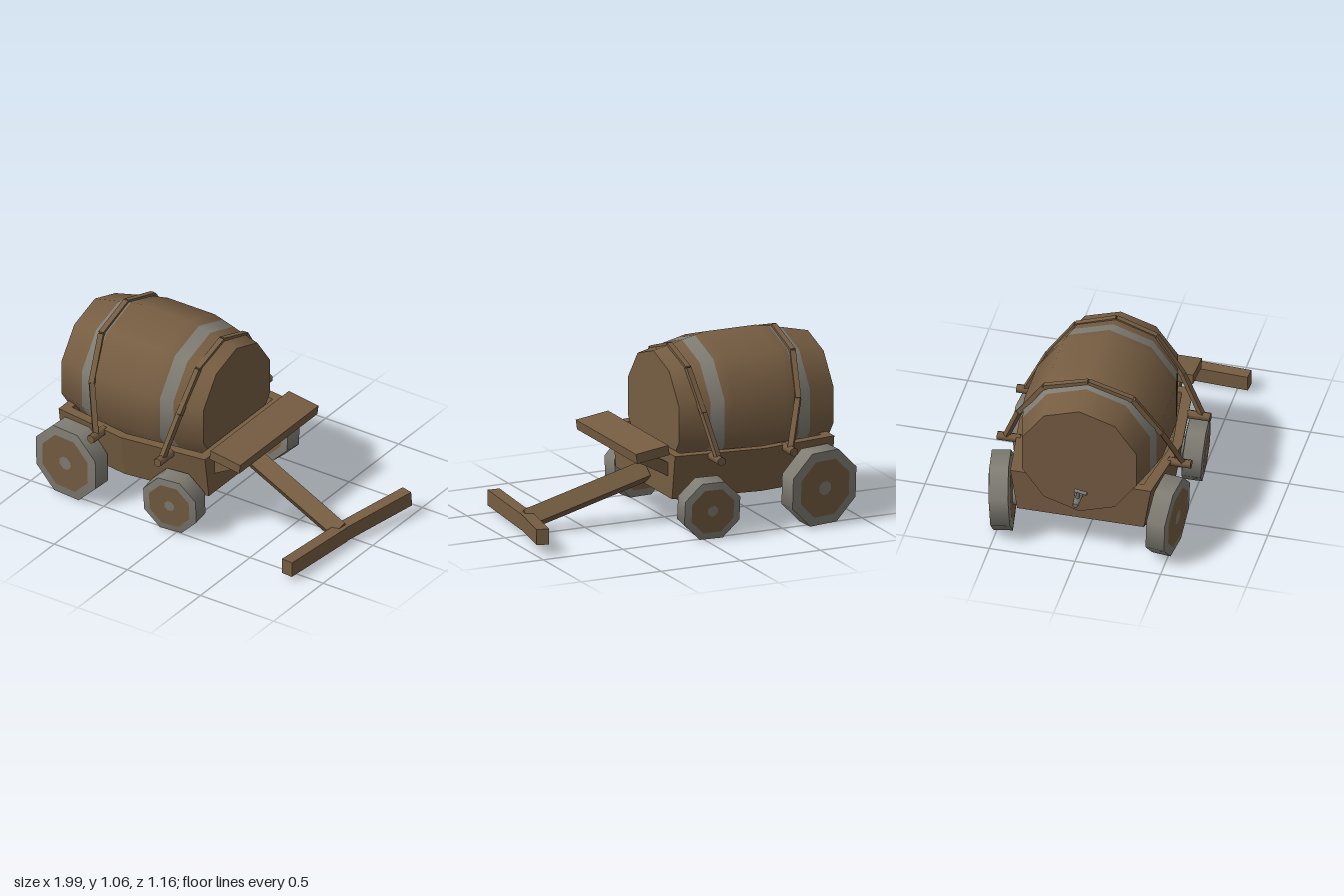
import * as THREE from 'three';

export function createModel() {
  const group = new THREE.Group();
  const wood = new THREE.MeshStandardMaterial({ color: 0x765d42 });
  const metal = new THREE.MeshStandardMaterial({ color: 0x807d74 });
  wood.name = 'wood';
  metal.name = 'metal';
  const V = (x, y, z) => new THREE.Vector3(x, y, z);

  const add = (name, geo, mat, parent = group) => {
    const m = new THREE.Mesh(geo, mat);
    m.name = name;
    parent.add(m);
    return m;
  };

  // Square bar between two points, rolled about its own length
  const beam = (name, a, b, w, h, mat = wood, roll = 0) => {
    const m = add(name, new THREE.BoxGeometry(w, h, a.distanceTo(b)), mat);
    m.position.copy(a).add(b).multiplyScalar(0.5);
    m.lookAt(b);
    m.rotateZ(roll);
    return m;
  };

  // Round rod between two points
  const rod = (name, a, b, r, mat = wood, sides = 8, r2 = r) => {
    const m = add(name, new THREE.CylinderGeometry(r2, r, a.distanceTo(b), sides), mat);
    m.position.copy(a).add(b).multiplyScalar(0.5);
    m.quaternion.setFromUnitVectors(V(0, 1, 0), b.clone().sub(a).normalize());
    return m;
  };

  // Surface of revolution from [radius, height] pairs
  const lathe = (name, pts, sides, phase, mat, parent) => add(name,
    new THREE.LatheGeometry(pts.map(p => new THREE.Vector2(...p)), sides, phase), mat, parent);

  // Barrel lying along x, split where the hoops lie
  const barrel = new THREE.Group();
  barrel.name = 'barrel';
  barrel.rotation.z = -Math.PI / 2;
  barrel.position.y = 0.65;
  group.add(barrel);
  const part = (name, pts, mat) => lathe(name, pts, 10, Math.PI / 10, mat, barrel);
  part('barrelBack', [[0, -0.9], [0.352, -0.9]], wood);
  part('stavesBack', [[0.352, -0.9], [0.391, -0.735]], wood);
  part('hoopBack', [[0.391, -0.735], [0.409, -0.655]], metal);
  part('stavesMiddle', [[0.409, -0.655], [0.425, -0.57], [0.425, -0.25], [0.412, -0.19]], wood);
  part('hoopFront', [[0.412, -0.19], [0.394, -0.11]], metal);
  part('stavesFront', [[0.394, -0.11], [0.352, 0.07]], wood);
  part('barrelFront', [[0.352, 0.07], [0, 0.07]], wood);

  // Wagon bed: rings of a bulged, flared plan joined into an open tray
  const ring = (y, spread, inset) => [
    [-0.87, 0.41], [-0.4, 0.475], [0.13, 0.41], [0.13, -0.41], [-0.4, -0.475], [-0.87, -0.41],
  ].map(([x, z]) => [x - Math.sign(x + 0.39) * inset * (Math.abs(x + 0.4) > 0.1 ? 1 : 0),
    y, z - Math.sign(z) * (spread + inset)]);
  const rings = [ring(0.23, 0.04, 0), ring(0.49, 0, 0), ring(0.49, 0, 0.055), ring(0.27, 0.04, 0.055)];
  const tri = [];
  const quad = (a, b, c, d) => tri.push(...a, ...b, ...c, ...a, ...c, ...d);
  for (let k = 0; k < 3; k++) {
    for (let i = 0; i < 6; i++) {
      const j = (i + 1) % 6;
      quad(rings[k][i], rings[k][j], rings[k + 1][j], rings[k + 1][i]);
    }
  }
  for (let i = 1; i < 5; i++) {
    tri.push(...rings[0][0], ...rings[0][i + 1], ...rings[0][i]);
    tri.push(...rings[3][0], ...rings[3][i], ...rings[3][i + 1]);
  }
  const bedGeo = new THREE.BufferGeometry();
  bedGeo.setAttribute('position', new THREE.Float32BufferAttribute(tri, 3));
  bedGeo.computeVertexNormals();
  add('wagonBed', bedGeo, wood);

  // Wheels: eight sides, metal tyre and hub, wooden disc on both faces
  const wheel = (name, x, y, z, R, yaw, tilt) => {
    const g = new THREE.Group();
    g.name = name;
    g.position.set(x, y, z);
    g.rotation.set(tilt, yaw, 0);
    group.add(g);
    const spin = new THREE.Group();
    spin.rotation.x = Math.PI / 2;
    g.add(spin);
    const h = 0.055, c = 0.062;
    const w = (n, pts, mat) => lathe(n, pts, 8, Math.PI / 8, mat, spin);
    w('tyreTread', [[R, -h], [R, h]], metal);
    for (const s of [-1, 1]) {
      const face = (n, pts, mat) => w(n, s < 0 ? pts : pts.reverse(), mat);
      face('hubPlate', [[0, s * c], [R * 0.18, s * c]], metal);
      face('wheelDisc', [[R * 0.18, s * c], [R * 0.76, s * c]], wood);
      face('tyreSide', [[R * 0.76, s * c], [R, s * h]], metal);
    }
  };
  wheel('rearLeftWheel', -0.735, 0.237, 0.475, 0.235, -0.09, 0.03);
  wheel('rearRightWheel', -0.735, 0.237, -0.49, 0.235, 0.16, -0.06);
  wheel('frontLeftWheel', -0.04, 0.192, 0.467, 0.182, 0.1, 0.06);
  wheel('frontRightWheel', -0.04, 0.192, -0.497, 0.182, -0.06, -0.09);

  // Axles with metal sleeves
  for (const [x, y] of [[-0.735, 0.21], [-0.04, 0.195]]) {
    beam('axle', V(x, y, -0.39), V(x, y, 0.39), 0.08, 0.075);
    for (const s of [-1, 1]) rod('axleSleeve', V(x, y + 0.01, s * 0.36), V(x, y, s * 0.46), 0.055, metal);
  }

  // Straps over the barrel, tied to pegs on both sides
  const straps = [
    [[-0.685, 1.055, 0], [-0.68, 0.975, 0.26], [-0.64, 0.74, 0.415], [-0.545, 0.48, 0.515]],
    [[-0.03, 1.025, 0], [-0.035, 0.945, 0.235], [-0.055, 0.72, 0.395], [-0.09, 0.48, 0.515]],
  ];
  for (const pts of straps) {
    for (const s of [-1, 1]) {
      const p = pts.map(([x, y, z]) => V(x, y, z * s));
      for (let i = 0; i < 3; i++) beam('strap', p[i], p[i + 1], 0.032, 0.028);
      rod('strapPeg', V(p[3].x, 0.473, s * 0.43), V(p[3].x, 0.473, s * 0.565), 0.027, wood, 6);
    }
  }

  // Driver's seat and its slanted brackets
  const seat = add('seat', new THREE.BoxGeometry(0.205, 0.058, 0.79), wood);
  seat.position.set(0.26, 0.513, 0.005);
  seat.rotation.z = -0.14;
  for (const s of [-1, 1]) beam('seatBracket', V(0.08, 0.365, s * 0.29), V(0.31, 0.49, s * 0.29), 0.05, 0.07);

  // Draw pole and cross handle
  beam('drawPole', V(0.13, 0.315, -0.035), V(0.83, 0.08, 0.075), 0.1, 0.1, wood, 0.6);
  beam('handleLeft', V(0.8, 0.083, 0.57), V(0.835, 0.075, 0.06), 0.072, 0.092);
  beam('handleRight', V(0.825, 0.075, 0.1), V(0.96, 0.12, -0.41), 0.072, 0.09);

  // Tap at the back of the barrel
  rod('tapSpout', V(-0.89, 0.425, 0), V(-0.995, 0.405, 0), 0.026, metal, 6, 0.017);
  rod('tapStem', V(-0.95, 0.42, 0), V(-0.955, 0.475, 0.01), 0.011, metal, 6);
  rod('tapHandle', V(-0.945, 0.475, -0.015), V(-0.96, 0.475, 0.06), 0.011, metal, 6);

  return group;
}
